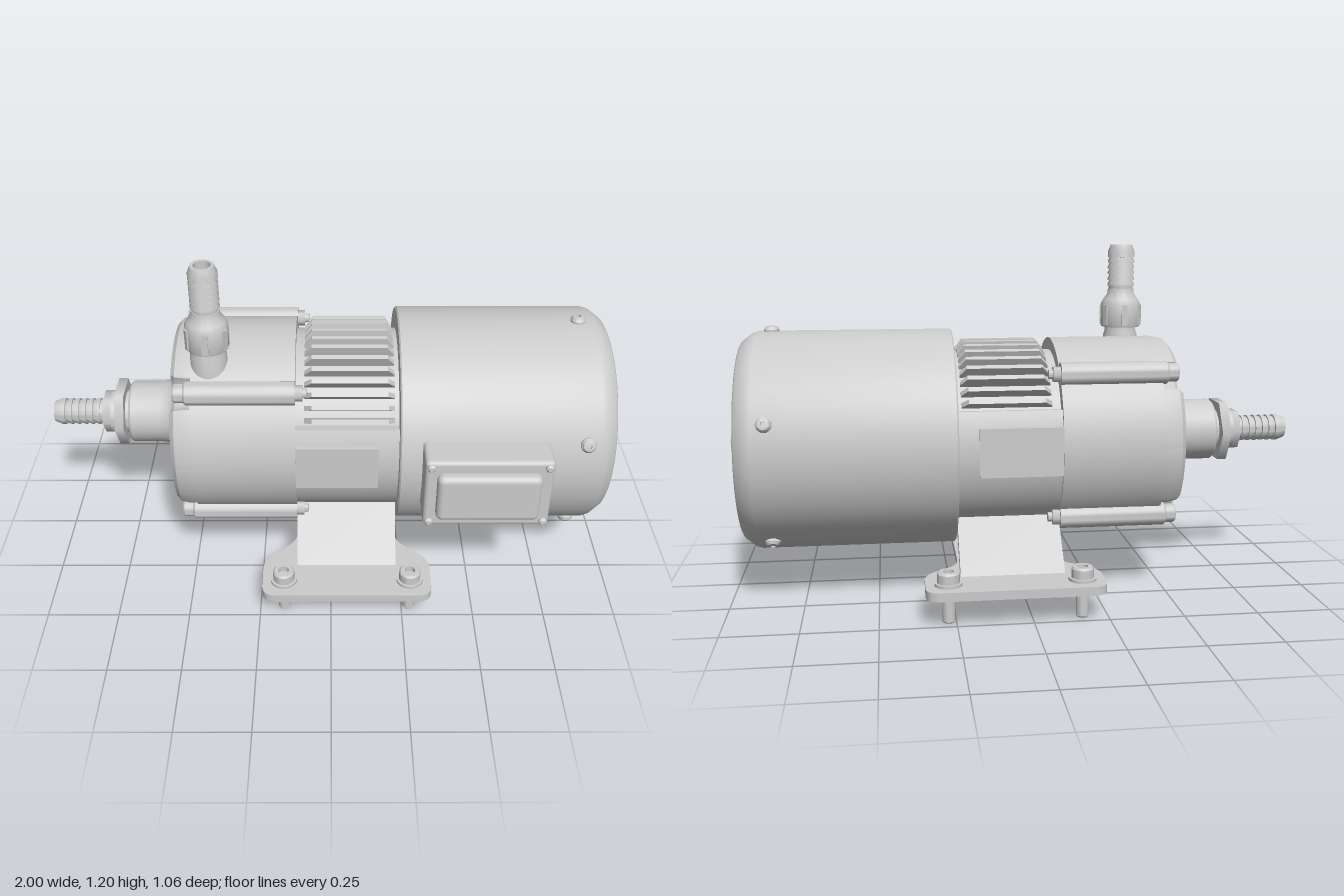
import * as THREE from 'three';
import { toCreasedNormals } from 'three/addons/utils/BufferGeometryUtils.js';
import { RoundedBoxGeometry } from 'three/addons/geometries/RoundedBoxGeometry.js';

const AXIS = 0.53; // height of the shaft line
const mat = new THREE.MeshStandardMaterial({ color: 0xcccccc, side: THREE.DoubleSide });

export function createModel() {
  const model = new THREE.Group();
  const add = (name, geo, x = 0, y = 0, z = 0) => {
    const mesh = new THREE.Mesh(geo, mat);
    mesh.name = name;
    mesh.position.set(x, y, z);
    model.add(mesh);
    return mesh;
  };
  // Turned part: points are [radius, height], running outward-facing from low to high
  const turned = (pts, seg = 48) => toCreasedNormals(
    new THREE.LatheGeometry(pts.map(p => new THREE.Vector2(p[0], p[1])), seg), 0.55);
  const turnedX = (pts, seg) => turned(pts, seg).rotateZ(-Math.PI / 2);
  const hexX = (r, x0, x1) => new THREE.CylinderGeometry(r, r, x1 - x0, 6)
    .toNonIndexed().rotateZ(Math.PI / 2).translate((x0 + x1) / 2, 0, 0);
  // Extrudes a shape drawn in (-z, y) along x
  const extrudeX = (shape, x0, x1, opts = {}) => toCreasedNormals(new THREE.ExtrudeGeometry(shape,
    { depth: x1 - x0, bevelEnabled: false, curveSegments: 24, ...opts }), 0.5)
    .rotateY(Math.PI / 2).translate(x0, 0, 0);
  const polar = (r, a) => new THREE.Vector2(r * Math.cos(a), r * Math.sin(a));
  const ringShape = (radiusAt, n) => new THREE.Shape(
    Array.from({ length: n }, (_, i) => polar(radiusAt(i / n * Math.PI * 2), i / n * Math.PI * 2)));
  const rad = THREE.MathUtils.degToRad;

  // Motor cover with chamfered rim and recessed end
  add('motorCover', turnedX([[0, 0.23], [0.375, 0.23], [0.38, 0.235], [0.38, 0.895], [0.374, 0.915],
    [0.347, 0.95], [0.338, 0.955], [0.325, 0.955], [0.319, 0.945], [0.319, 0.922], [0, 0.922]], 96), 0, AXIS);

  // Vent plate with three rings of curved slots
  const vent = new THREE.Shape().absarc(0, 0, 0.32, 0, Math.PI * 2);
  for (const r of [0.26, 0.21, 0.165]) for (let k = 0; k < 4; k++) {
    const mid = k * Math.PI / 2, half = rad(36), w = 0.013;
    const slot = new THREE.Path();
    slot.absarc(0, 0, r + w, mid - half, mid + half, false);
    const e1 = polar(r, mid + half), e0 = polar(r, mid - half);
    slot.absarc(e1.x, e1.y, w, mid + half, mid + half + Math.PI, false);
    slot.absarc(0, 0, r - w, mid + half, mid - half, true);
    slot.absarc(e0.x, e0.y, w, mid - half + Math.PI, mid - half + Math.PI * 2, false);
    vent.holes.push(slot);
  }
  add('ventPlate', extrudeX(vent, 0.922, 0.944), 0, AXIS);
  add('endHub', turnedX([[0.142, 0.94], [0.136, 0.956], [0.122, 0.969], [0.105, 0.975], [0.088, 0.973],
    [0.063, 0.962], [0.06, 0.975], [0, 0.975]], 64), 0, AXIS);
  add('endNut', hexX(0.05, 0.95, 1), 0, AXIS);

  // Five domed cover screws
  for (let i = 0; i < 5; i++) {
    const pivot = new THREE.Group();
    pivot.name = 'coverScrew';
    pivot.position.set(0.85, AXIS, 0);
    pivot.rotation.x = i * Math.PI * 2 / 5;
    const head = add('screwHead', turned([[0.026, 0.375], [0.026, 0.386], [0.019, 0.396], [0.008, 0.399],
      [0.008, 0.391], [0, 0.391]], 20));
    pivot.add(head);
    model.add(pivot);
  }

  // Motor waist: reduced radius under the cooling fins
  const finHalf = rad(65);
  add('motorBody', extrudeX(ringShape(a => Math.abs(a - Math.PI / 2) < finHalf ? 0.302 : 0.332, 180),
    -0.13, 0.24), 0, AXIS);
  const fin = new THREE.Shape([[-0.09, 0.29], [0.215, 0.29], [0.215, 0.312], [0.192, 0.344],
    [-0.065, 0.344], [-0.09, 0.312]].map(p => new THREE.Vector2(...p)));
  const finGeo = new THREE.ExtrudeGeometry(fin, { depth: 0.016, bevelEnabled: false }).translate(0, 0, -0.008);
  for (let i = -8; i <= 8; i++) add('coolingFin', finGeo, 0, AXIS).rotation.x = i * rad(7.6);
  for (const s of [-1, 1]) add('sidePlate', new THREE.BoxGeometry(0.28, 0.165, 0.04), 0.02, AXIS, s * 0.32);

  // Terminal box with raised lid and corner screws
  add('terminalBox', new RoundedBoxGeometry(0.42, 0.265, 0.175, 3, 0.015), 0.515, AXIS - 0.003, 0.385);
  add('terminalLid', new RoundedBoxGeometry(0.34, 0.18, 0.08, 4, 0.022), 0.515, AXIS - 0.003, 0.465);
  for (const sx of [-1, 1]) for (const sy of [-1, 1])
    add('lidScrew', turned([[0.014, 0], [0.014, 0.006], [0.008, 0.012], [0, 0.012]], 16).rotateX(Math.PI / 2),
      0.515 + sx * 0.19, AXIS - 0.003 + sy * 0.112, 0.472);

  // Pump head: drum plus chamfered nose notched around the tie bolts
  add('pumpHead', turnedX([[0, -0.47], [0.345, -0.47], [0.345, -0.12], [0, -0.12]], 96), 0, AXIS);
  const notched = a => {
    const d = ((a + Math.PI * 2) % (Math.PI / 2)) - Math.PI / 4, s = 0.35 * Math.sin(d), b = 0.055;
    return Math.abs(s) < b ? Math.min(0.345, 0.35 * Math.cos(d) - Math.sqrt(b * b - s * s)) : 0.345;
  };
  add('pumpNose', extrudeX(ringShape(notched, 240), -0.49, -0.45,
    { bevelEnabled: true, bevelThickness: 0.05, bevelSize: 0.022, bevelOffset: -0.022, bevelSegments: 2 }), 0, AXIS);

  // Tie bolts in round ribs, with socket heads and end nuts
  for (const sy of [-1, 1]) for (const sz of [-1, 1]) {
    const y = AXIS + sy * 0.247, z = sz * 0.247;
    add('tieBoltRib', turnedX([[0, -0.49], [0.034, -0.49], [0.04, -0.483], [0.04, -0.12], [0, -0.12]], 28), 0, y, z);
    add('tieBoltHead', turnedX([[0, -0.505], [0.016, -0.505], [0.016, -0.525], [0.028, -0.525],
      [0.032, -0.52], [0.032, -0.48]], 24), 0, y, z);
    add('tieBoltNut', hexX(0.028, -0.12, -0.095), 0, y, z);
    add('tieBoltTip', turnedX([[0, -0.12], [0.016, -0.12], [0.016, -0.08], [0, -0.078]], 16), 0, y, z);
  }

  // Inlet neck, collar and nut
  add('inletNeck', turnedX([[0, -0.72], [0.104, -0.72], [0.11, -0.712], [0.11, -0.61], [0.114, -0.585],
    [0.125, -0.562], [0.142, -0.546], [0.165, -0.538], [0.165, -0.53]], 64), 0, AXIS);
  add('inletSleeve', turnedX([[0, -0.79], [0.075, -0.79], [0.075, -0.71], [0, -0.71]]), 0, AXIS);
  add('inletLockNut', hexX(0.12, -0.768, -0.736), 0, AXIS);
  add('inletNut', hexX(0.076, -0.818, -0.78), 0, AXIS);

  // Ridged hose tail, pointing up from y = 0, hollow at the tip
  const hoseTail = (length, r, ridgeStart, ridges, pitch) => {
    const pts = [[0, 0], [r * 0.9, 0], [r * 0.9, ridgeStart]];
    for (let i = 0; i < ridges; i++) {
      const y = ridgeStart + i * pitch;
      pts.push([r, y], [r, y + pitch * 0.3], [r * 0.87, y + pitch * 0.99]);
    }
    pts.push([r, ridgeStart + ridges * pitch], [r, length - 0.025], [r * 0.8, length], [r * 0.58, length],
      [r * 0.58, length * 0.3], [0, length * 0.3]);
    return turned(pts, 40);
  };
  add('inletHoseTail', hoseTail(0.19, 0.047, 0.025, 5, 0.025).rotateZ(Math.PI / 2), -0.81, AXIS);

  // Outlet: stub, ribbed coupling nut, hose tail
  const ox = -0.41, oz = 0.145;
  add('outletStub', turned([[0, 0.72], [0.062, 0.72], [0.062, 0.87], [0.057, 0.885], [0.057, 0.91], [0, 0.91]]), ox, 0, oz);
  add('outletCoupling', turned([[0, 0.9], [0.07, 0.9], [0.072, 0.905], [0.072, 0.985], [0.064, 1.0],
    [0.05, 1.02], [0.047, 1.04], [0, 1.04]]), ox, 0, oz);
  for (let i = 0; i < 6; i++) {
    const a = i * Math.PI / 3;
    add('couplingRib', new THREE.BoxGeometry(0.02, 0.075, 0.02), ox + 0.067 * Math.sin(a), 0.944, oz + 0.067 * Math.cos(a)).rotation.y = a;
  }
  add('outletHoseTail', hoseTail(0.18, 0.049, 0.03, 5, 0.021), ox, 1.02, oz);

  // Base plate: waisted, with a central window
  const rounded = (pts, r, Kind) => {
    const path = new Kind(), n = pts.length, v = pts.map(p => new THREE.Vector2(...p));
    v.forEach((p, i) => {
      const toward = q => p.clone().add(q.clone().sub(p).setLength(r));
      const a = toward(v[(i + n - 1) % n]), b = toward(v[(i + 1) % n]);
      i ? path.lineTo(a.x, a.y) : path.moveTo(a.x, a.y);
      path.quadraticCurveTo(p.x, p.y, b.x, b.y);
    });
    path.closePath();
    return path;
  };
  const plate = rounded([[-0.24, -0.53], [0.35, -0.53], [0.35, -0.35], [0.23, -0.25], [0.23, 0.25], [0.35, 0.35],
    [0.35, 0.53], [-0.24, 0.53], [-0.24, 0.35], [-0.12, 0.25], [-0.12, -0.25], [-0.24, -0.35]], 0.05, THREE.Shape);
  plate.holes.push(rounded([[-0.07, -0.26], [-0.07, 0.26], [0.18, 0.26], [0.18, -0.26]], 0.01, THREE.Path));
  add('basePlate', toCreasedNormals(new THREE.ExtrudeGeometry(plate, { depth: 0.03, bevelEnabled: false }), 0.5)
    .rotateX(Math.PI / 2), 0, 0.125);

  // Sloped saddle legs and a thin rear web
  for (const s of [-1, 1]) {
    const leg = new THREE.Shape([[0.385, 0.12], [0.2, 0.31], [0.17, 0.285], [0.345, 0.12]]
      .map(p => new THREE.Vector2(s * p[0], p[1])));
    add('saddleLeg', extrudeX(leg, -0.12, 0.23));
  }
  const web = new THREE.Shape([[0.35, 0.123], [0.25, 0.245], [0.13, 0.25], [0.13, 0.17]].map(p => new THREE.Vector2(...p)));
  add('rearWeb', extrudeX(web, 0.045, 0.065));

  // Mounting bolts with washers and socket heads
  for (const x of [-0.165, 0.275]) for (const z of [-0.453, 0.453]) {
    add('mountingBolt', turned([[0, 0], [0.018, 0], [0.021, 0.004], [0.021, 0.13], [0.037, 0.13], [0.037, 0.165],
      [0.032, 0.171], [0.018, 0.171], [0.018, 0.15], [0, 0.15]], 28), x, 0, z);
    add('washer', turned([[0.02, 0.124], [0.046, 0.124], [0.046, 0.135], [0.02, 0.135]], 32), x, 0, z);
  }
  return model;
}
